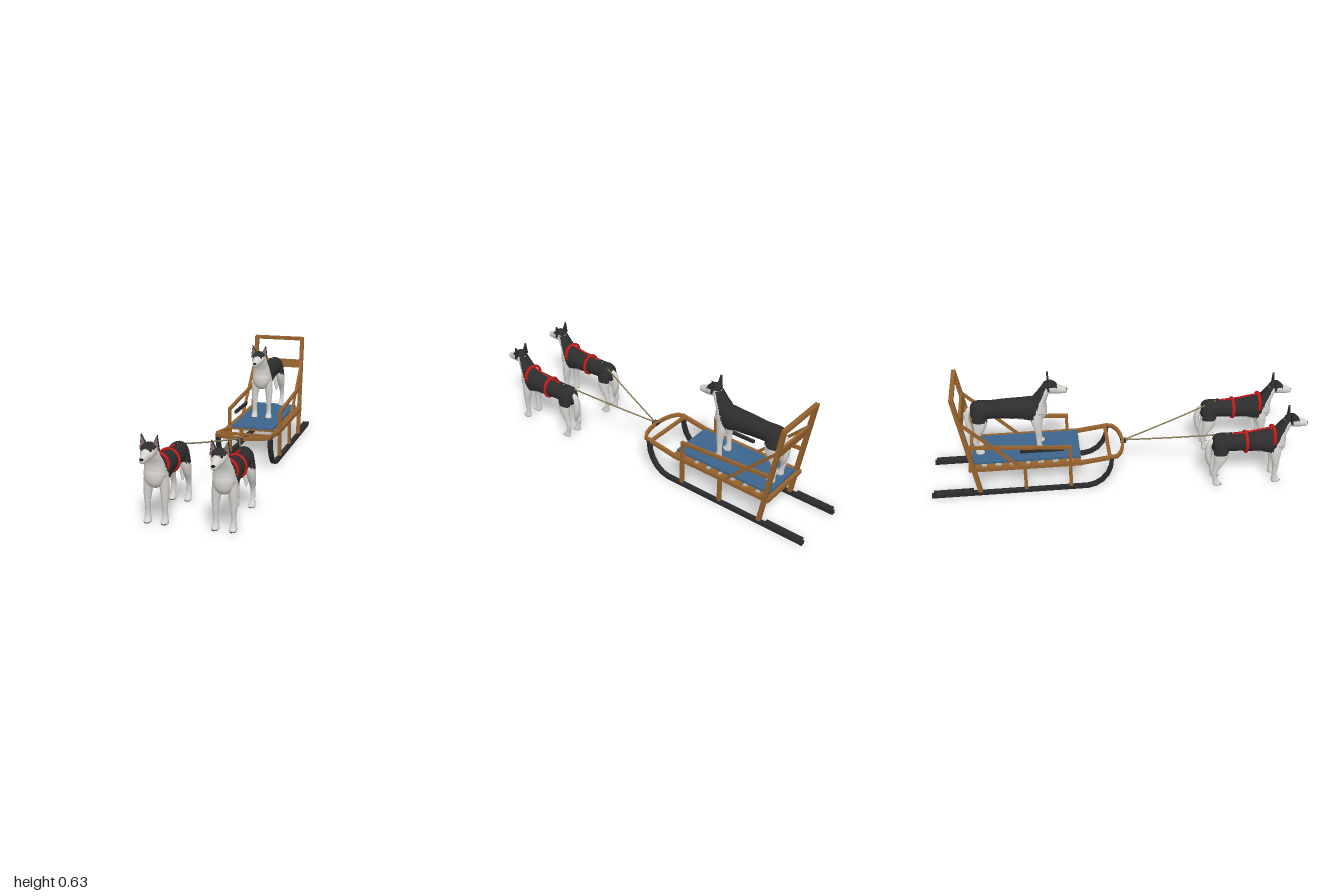
import * as THREE from 'three';

const mat = (name, color) => {
  const m = new THREE.MeshStandardMaterial({ color });
  m.name = name;
  return m;
};
const M = {
  wood: mat('wood', 0x97632f),
  runner: mat('runner black', 0x2b2b2e),
  mat: mat('blue mat', 0x3c668c),
  white: mat('white fur', 0xd6d3cf),
  dark: mat('dark fur', 0x2d2d2d),
  ear: mat('ear pink', 0x8a6c6a),
  red: mat('harness red', 0xc41a1a),
  rope: mat('rope', 0x857a58),
  nose: mat('nose black', 0x161616),
};

function add(group, name, geo, material, x = 0, y = 0, z = 0) {
  const m = new THREE.Mesh(geo, material);
  m.name = name;
  m.position.set(x, y, z);
  group.add(m);
  return m;
}

// Square bar between two points
function beam(group, name, a, b, w, h, material, extra = 0) {
  const A = new THREE.Vector3(...a), B = new THREE.Vector3(...b);
  const m = add(group, name, new THREE.BoxGeometry(w, h, A.distanceTo(B) + extra), material);
  m.position.copy(A).add(B).multiplyScalar(0.5);
  m.lookAt(B);
  return m;
}

function tube(group, name, pts, r, material) {
  const curve = new THREE.CatmullRomCurve3(pts.map(p => new THREE.Vector3(...p)));
  return add(group, name, new THREE.TubeGeometry(curve, 12, r, 8), material);
}

// Smooth body through rings [x, y, z, radiusX, radius2, tilt]; isDark(x, y, z) picks the fur colour of each face
function loft(group, name, rings, isDark, steps = 28, n = 24) {
  const v3 = o => new THREE.CatmullRomCurve3(
    rings.map(r => new THREE.Vector3(r[o], r[o + 1], r[o + 2])), false, 'catmullrom', 0.5);
  const centres = v3(0), sizes = v3(3), pos = [], light = [], dark = [];
  for (let i = 0; i <= steps; i++) {
    const c = centres.getPoint(i / steps), s = sizes.getPoint(i / steps);
    const rx = Math.max(s.x, 0.001), r2 = Math.max(s.y, 0.001);
    for (let j = 0; j < n; j++) {
      const a = (j / n) * Math.PI * 2, q = Math.sin(a) * r2;
      pos.push(c.x + Math.cos(a) * rx, c.y + q * Math.cos(s.z), c.z + q * Math.sin(s.z));
    }
  }
  const first = rings[0], last = rings[rings.length - 1];
  const c0 = pos.length / 3, c1 = c0 + 1;
  pos.push(first[0], first[1], first[2], last[0], last[1], last[2]);
  const face = (...ids) => {
    const mid = k => ids.reduce((t, i) => t + pos[i * 3 + k], 0) / 3;
    (isDark(mid(0), mid(1), mid(2)) ? dark : light).push(...ids);
  };
  for (let j = 0; j < n; j++) {
    const k = (j + 1) % n;
    for (let i = 0; i < steps; i++) {
      const a = i * n + j, b = i * n + k;
      face(a, b, a + n);
      face(b, b + n, a + n);
    }
    face(c0, k, j);
    face(c1, steps * n + j, steps * n + k);
  }
  const g = new THREE.BufferGeometry();
  g.setAttribute('position', new THREE.Float32BufferAttribute(pos, 3));
  g.setIndex([...light, ...dark]);
  g.addGroup(0, light.length, 0);
  g.addGroup(light.length, dark.length, 1);
  g.computeVertexNormals();
  return add(group, name, g, [M.white, M.dark]);
}

function makeDog() {
  const dog = new THREE.Group();
  const D = Math.PI / 2;
  const coat = (x, y, z) => y > 0.205 + 0.008 * Math.sin(z * 45) && z < 0.83 + (y - 0.25) * 0.45;
  const plain = () => false;
  const cap = (x, y, z) => y > 0.374 + Math.abs(Math.abs(x) - 0.016) * 0.3 && z < 0.945;

  loft(dog, 'torso', [
    [0, 0.245, 0.487, 0.004, 0.008, 0], [0, 0.245, 0.5, 0.034, 0.044, 0],
    [0, 0.25, 0.53, 0.05, 0.052, 0], [0, 0.25, 0.6, 0.047, 0.05, 0],
    [0, 0.25, 0.68, 0.05, 0.055, 0], [0, 0.245, 0.76, 0.056, 0.061, 0],
    [0, 0.24, 0.82, 0.057, 0.07, 0], [0, 0.238, 0.862, 0.048, 0.062, 0],
    [0, 0.236, 0.882, 0.03, 0.04, 0], [0, 0.235, 0.89, 0.006, 0.01, 0]], coat, 48, 32);
  loft(dog, 'neck', [
    [0, 0.23, 0.838, 0.055, 0.05, -D], [0, 0.29, 0.846, 0.049, 0.042, -D],
    [0, 0.33, 0.868, 0.04, 0.034, -D], [0, 0.375, 0.893, 0.031, 0.026, -D]], coat, 24, 32);
  loft(dog, 'head', [
    [0, 0.368, 0.868, 0.006, 0.006, 0], [0, 0.37, 0.88, 0.026, 0.026, 0],
    [0, 0.37, 0.905, 0.037, 0.035, 0], [0, 0.364, 0.93, 0.034, 0.033, 0],
    [0, 0.353, 0.95, 0.024, 0.026, 0], [0, 0.347, 0.975, 0.018, 0.02, 0],
    [0, 0.344, 0.992, 0.014, 0.016, 0], [0, 0.344, 0.998, 0.006, 0.007, 0]], cap, 36, 32);
  loft(dog, 'tail', [
    [0, 0.265, 0.5, 0.012, 0.012, 2.6], [0, 0.248, 0.48, 0.016, 0.014, 2.1],
    [0, 0.2, 0.47, 0.021, 0.014, D], [0, 0.14, 0.478, 0.02, 0.014, 1.35],
    [0, 0.09, 0.492, 0.004, 0.003, 1.2]], plain, 20, 14);
  add(dog, 'nose', new THREE.SphereGeometry(0.011, 12, 8), M.nose, 0, 0.348, 0.991).scale.set(1.1, 0.8, 0.8);

  for (const s of [-1, 1]) {
    const f = s * 0.042, h = s * 0.04;
    loft(dog, 'frontLeg', [
      [s * 0.034, 0.25, 0.828, 0.02, 0.035, D], [s * 0.038, 0.19, 0.83, 0.023, 0.031, D],
      [f, 0.13, 0.836, 0.018, 0.02, D], [f, 0.095, 0.838, 0.014, 0.016, D],
      [f, 0.05, 0.837, 0.013, 0.013, D], [f, 0.025, 0.84, 0.015, 0.017, D],
      [f, 0.01, 0.846, 0.018, 0.024, D], [f, 0.001, 0.846, 0.016, 0.021, D]], coat, 28, 16);
    loft(dog, 'hindLeg', [
      [s * 0.03, 0.26, 0.537, 0.02, 0.036, D], [s * 0.036, 0.2, 0.537, 0.023, 0.04, D],
      [h, 0.15, 0.53, 0.02, 0.029, D], [h, 0.11, 0.515, 0.015, 0.018, D],
      [h, 0.075, 0.506, 0.012, 0.015, D], [h, 0.035, 0.513, 0.012, 0.013, D],
      [h, 0.01, 0.524, 0.017, 0.024, D], [h, 0.001, 0.524, 0.015, 0.021, D]], coat, 28, 16);

    // Paw pads and claws
    for (const [x, z] of [[f, 0.846], [h, 0.524]]) {
      add(dog, 'pawPad', new THREE.CylinderGeometry(0.014, 0.013, 0.003, 12), M.nose, x, 0.0015, z).scale.z = 1.4;
      for (const k of [-1, 0, 1])
        add(dog, 'claw', new THREE.SphereGeometry(0.003, 6, 5), M.nose, x + k * 0.009, 0.004, z + 0.023 - Math.abs(k) * 0.004);
    }

    // Ear with pink inner face
    const tri = k => new THREE.Shape([[0.008, 0.382], [0.047, 0.367], [0.038, 0.437]].map(
      ([x, y]) => new THREE.Vector2(s * (0.031 + (x - 0.031) * k), 0.395 + (y - 0.395) * k)));
    add(dog, 'ear', new THREE.ExtrudeGeometry(tri(1), { depth: 0.01, bevelEnabled: false }), M.dark, 0, 0, 0.895);
    add(dog, 'innerEar', new THREE.ShapeGeometry(tri(0.9)), M.ear, 0, 0, 0.9058);
    add(dog, 'eye', new THREE.SphereGeometry(0.005, 10, 8), M.nose, s * 0.021, 0.374, 0.941);
  }
  return dog;
}

function makeHarness() {
  const g = new THREE.Group();
  g.name = 'harness';
  const collar = add(g, 'collar', new THREE.TorusGeometry(0.055, 0.007, 8, 32), M.red, 0, 0.275, 0.815);
  collar.scale.z = 1.3;
  const girth = add(g, 'girth', new THREE.TorusGeometry(0.053, 0.007, 8, 32), M.red, 0, 0.248, 0.67);
  girth.scale.set(1, 1.06, 1.3);
  tube(g, 'backStrap', [[0, 0.331, 0.815], [0, 0.318, 0.74], [0, 0.307, 0.67], [0, 0.302, 0.59]], 0.005, M.red);
  add(g, 'ropeRing', new THREE.BoxGeometry(0.016, 0.01, 0.016), M.runner, 0, 0.302, 0.585);
  return g;
}

function makeSled() {
  const sled = new THREE.Group();
  sled.name = 'sled';
  const W = M.wood, X = 0.147;
  for (const s of [-1, 1]) {
    const x = s * X;
    // Runner with upturned front and rear foot board
    const run = [[0.185, -0.04], [0.13, -0.045], [0.085, -0.062], [0.045, -0.092], [0.02, -0.13], [0.01, -0.17], [0.01, -1]];
    for (let i = 1; i < run.length; i++)
      beam(sled, 'runner', [x, ...run[i - 1]], [x, ...run[i]], 0.024, 0.019, M.runner, i < 6 ? 0.006 : 0);
    add(sled, 'footBoard', new THREE.BoxGeometry(0.038, 0.01, 0.21), M.runner, x, 0.024, -0.885);
    // Bed rail, posts, side rail, brace and rear upright
    beam(sled, 'bedRail', [x, 0.165, -0.2], [x, 0.165, -0.79], 0.02, 0.02, W);
    beam(sled, 'frontRail', [x, 0.19, -0.03], [x, 0.165, -0.205], 0.02, 0.018, W);
    for (const z of [-0.26, -0.5]) beam(sled, 'post', [x, 0.015, z], [x, 0.165, z], 0.018, 0.018, W);
    beam(sled, 'sidePost', [x, 0.165, -0.26], [x, 0.275, -0.26], 0.016, 0.016, W);
    beam(sled, 'sideRail', [x, 0.27, -0.253], [x, 0.308, -0.785], 0.016, 0.016, W);
    beam(sled, 'brace', [x, 0.17, -0.53], [x, 0.455, -0.81], 0.014, 0.014, W);
    beam(sled, 'upright', [x, 0.015, -0.742], [s * 0.142, 0.6, -0.84], 0.022, 0.022, W);
  }
  // Curved front bow and hitch
  const bow = [[-0.147, -0.035], [-0.14, -0.01], [-0.105, 0.013], [-0.06, 0.026], [0, 0.032],
    [0.06, 0.026], [0.105, 0.013], [0.14, -0.01], [0.147, -0.035]];
  for (let i = 1; i < bow.length; i++)
    beam(sled, 'bow', [bow[i - 1][0], 0.188, bow[i - 1][1]], [bow[i][0], 0.188, bow[i][1]], 0.016, 0.018, W, 0.005);
  add(sled, 'hitch', new THREE.BoxGeometry(0.03, 0.016, 0.03), M.runner, 0, 0.187, 0.037);
  // Cross pieces
  const cross = (name, y, z, w, h, d) => add(sled, name, new THREE.BoxGeometry(w, h, d), W, 0, y, z);
  cross('frontCrossbar', 0.188, -0.05, 0.29, 0.014, 0.018);
  cross('rearCrossbar', 0.165, -0.782, 0.31, 0.02, 0.022);
  for (const z of [-0.26, -0.5]) cross('bedBeam', 0.162, z, 0.29, 0.016, 0.018);
  for (let i = 0; i < 8; i++) cross('slat', 0.173, -0.225 - i * 0.075, 0.3, 0.01, 0.045);
  cross('handlebar', 0.593, -0.84, 0.3, 0.02, 0.022);
  cross('backBoard', 0.443, -0.81, 0.28, 0.05, 0.014).rotation.x = -0.165;
  // Load
  add(sled, 'mat', new THREE.BoxGeometry(0.24, 0.012, 0.57), M.mat, 0, 0.184, -0.49);
  add(sled, 'sideBar', new THREE.BoxGeometry(0.014, 0.016, 0.23), M.runner, -0.122, 0.245, -0.405);
  return sled;
}

export function createModel() {
  const model = new THREE.Group();
  model.name = 'dogSled';
  model.add(makeSled());
  const dog = makeDog();
  dog.name = 'ridingDog';
  for (const s of [-1, 1]) {
    const d = dog.clone();
    d.name = s > 0 ? 'leftDog' : 'rightDog';
    d.position.x = s * 0.163;
    d.add(makeHarness());
    model.add(d);
    tube(model, 'towRope', [[0, 0.19, 0.04], [s * 0.08, 0.242, 0.31], [s * 0.163, 0.302, 0.585]], 0.004, M.rope);
  }
  dog.position.set(0, 0.19, -1.255);
  model.add(dog);
  return model;
}
